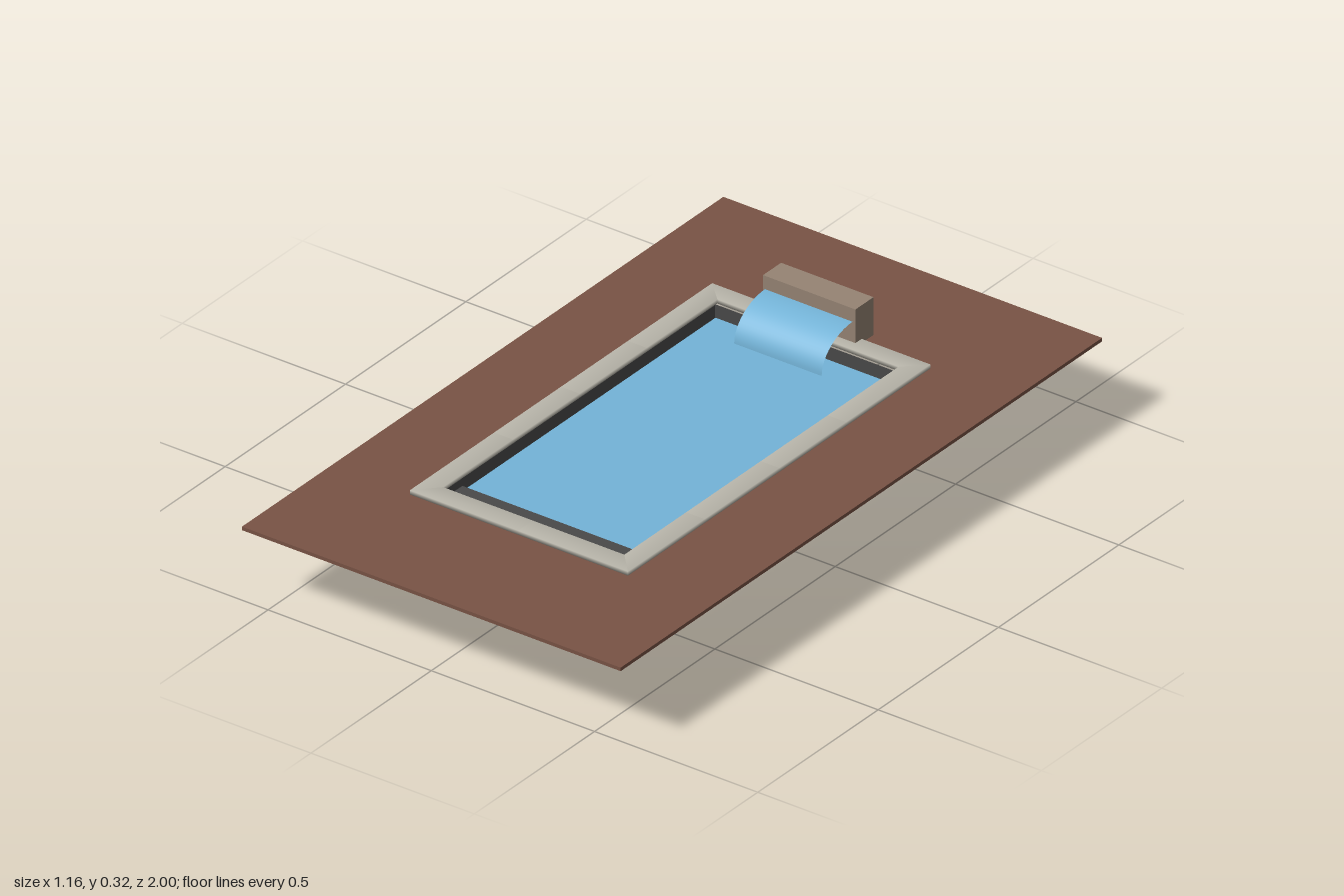
import * as THREE from 'three';
import { mergeVertices } from 'three/addons/utils/BufferGeometryUtils.js';

const material = (name, color, side = THREE.FrontSide) => {
  const m = new THREE.MeshStandardMaterial({ color, side });
  m.name = name;
  return m;
};

export function createModel() {
  const deckBrown = material('deckBrown', 0x795345);
  const linerGrey = material('linerGrey', 0x4a4a4a, THREE.DoubleSide);
  const waterBlue = material('waterBlue', 0x74b4d8, THREE.DoubleSide);
  const copingStone = material('copingStone', 0xb8b5aa);
  const fountainStone = material('fountainStone', 0x968474);
  const lightGrey = material('lightGrey', 0xc0c0c0, THREE.DoubleSide);

  const model = new THREE.Group();
  model.name = 'swimmingPool';

  const add = (name, geometry, mat, parent = model) => {
    const mesh = new THREE.Mesh(geometry, mat);
    mesh.name = name;
    parent.add(mesh);
    return mesh;
  };
  // box given by its lower and upper limits
  const box = (name, [x0, x1], [y0, y1], [z0, z1], mat, parent) =>
    add(name, new THREE.BoxGeometry(x1 - x0, y1 - y0, z1 - z0)
      .translate((x0 + x1) / 2, (y0 + y1) / 2, (z0 + z1) / 2), mat, parent);
  // flat slab from a plan outline of [x, z] points
  const outline = (points) => points.map(([x, z]) => new THREE.Vector2(x, -z));
  const slab = (points, y0, y1, hole) => {
    const shape = new THREE.Shape(outline(points));
    if (hole) shape.holes.push(new THREE.Path(outline(hole)));
    return new THREE.ExtrudeGeometry(shape, { depth: y1 - y0, bevelEnabled: false })
      .rotateX(-Math.PI / 2).translate(0, y0, 0);
  };
  const rect = (x0, x1, z0, z1) => [[x0, z0], [x0, z1], [x1, z1], [x1, z0]];

  // deck with the pool opening
  add('deck', slab(rect(-0.58, 0.58, -1, 1), 0.2, 0.21, rect(-0.33, 0.32, -0.615, 0.615)), deckBrown);

  // open basin: floor and four thin walls
  const basin = new THREE.Group();
  basin.name = 'basin';
  model.add(basin);
  const [bx0, bx1, bz] = [-0.285, 0.264, 0.566];
  const w = bx1 - bx0, cx = (bx0 + bx1) / 2, h = 0.21;
  add('floor', new THREE.PlaneGeometry(w, bz * 2).rotateX(Math.PI / 2).translate(cx, 0, 0), linerGrey, basin);
  for (const s of [-1, 1]) {
    add('endWall', new THREE.PlaneGeometry(w, h).translate(cx, h / 2, s * bz), linerGrey, basin);
    add('sideWall', new THREE.PlaneGeometry(bz * 2, h).rotateY(Math.PI / 2)
      .translate(cx + s * w / 2, h / 2, 0), linerGrey, basin);
  }
  box('entryStep', [bx0 + 0.002, 0.26], [0.002, 0.188], [0.487, 0.564], linerGrey, basin);

  // water surface
  add('water', new THREE.PlaneGeometry(0.554, 1.135).rotateX(-Math.PI / 2)
    .translate(-0.007, 0.172, 0), waterBlue);

  // coping stones with mitred corners and softly blended normals
  const coping = new THREE.Group();
  coping.name = 'coping';
  model.add(coping);
  const outer = { x0: -0.34, x1: 0.328, z0: -0.628, z1: 0.628 };
  const inner = { x0: -0.283, x1: 0.272, z0: -0.572, z1: 0.567 };
  const stone = (points) => {
    const g = slab(points, 0.21, 0.222);
    g.deleteAttribute('normal');
    g.deleteAttribute('uv');
    const smooth = mergeVertices(g, 1e-5);
    smooth.computeVertexNormals();
    add('copingStone', smooth, copingStone, coping);
  };
  // one edge: along = axis it runs on, across = its fixed side
  const edge = (along, across, joints) => {
    const o = [outer[along + 0], ...joints, outer[along + 1]];
    const i = [inner[along + 0], ...joints, inner[along + 1]];
    const at = (a, c) => (along === 'x' ? [a, c] : [c, a]);
    for (let k = 0; k + 1 < o.length; k++) {
      stone([at(o[k], outer[across]), at(o[k + 1], outer[across]),
        at(i[k + 1], inner[across]), at(i[k], inner[across])]);
    }
  };
  edge('z', 'x0', [-0.278, 0, 0.278]);
  edge('z', 'x1', [-0.278, 0, 0.31]);
  edge('x', 'z0', [-0.008]);
  edge('x', 'z1', [-0.008]);

  // fountain block and the curved sheet of falling water
  box('fountainBlock', [-0.165, 0.118], [0.21, 0.318], [-0.677, -0.602], fountainStone);
  const sheet = new THREE.PlaneGeometry(0.268, 1, 1, 16);
  const p = sheet.attributes.position;
  for (let k = 0; k < p.count; k++) {
    const a = (0.5 - p.getY(k)) * Math.PI / 2;
    p.setXYZ(k, p.getX(k) - 0.025, 0.185 + 0.095 * Math.cos(a), -0.604 + 0.13 * Math.sin(a));
  }
  sheet.computeVertexNormals();
  add('waterfall', sheet, waterBlue);

  // lights along the left wall
  for (const z of [0.483, 0.25, 0, -0.23]) {
    box('poolLight', [0.268, 0.271], [0.145, 0.172], [z - 0.013, z + 0.013], lightGrey);
  }
  return model;
}
